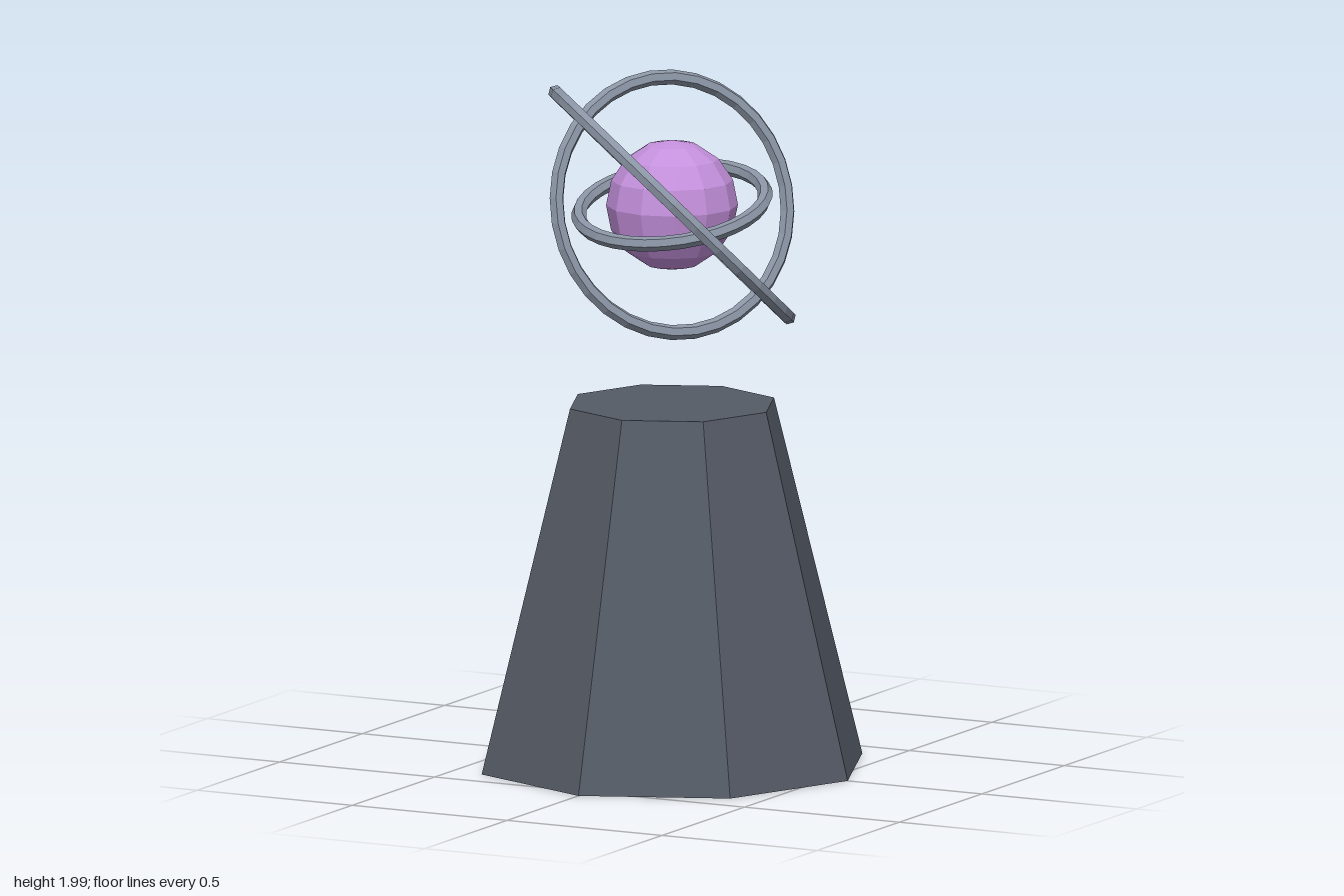
import * as THREE from 'three';

const flat = (color) => new THREE.MeshStandardMaterial({ color, flatShading: true });

export function createModel() {
  const model = new THREE.Group();
  const add = (name, geometry, material, y) => {
    const mesh = new THREE.Mesh(geometry, material);
    mesh.name = name;
    mesh.position.y = y;
    model.add(mesh);
    return mesh;
  };

  // Tapered octagonal pedestal
  const height = 1.045;
  add('pedestal', new THREE.CylinderGeometry(0.304, 0.567, height, 8), flat(0x555b66), height / 2);

  // Floating faceted orb
  const centerY = 1.62;
  add('orb', new THREE.SphereGeometry(0.188, 12, 8), flat(0xc490dc), centerY);

  // Three tilted rings around the orb: radius and axis direction
  const ringMaterial = flat(0x8a94a4);
  const tilt = Math.PI / 12;
  const rings = [
    ['innerRing', 0.268, [0, Math.cos(tilt), Math.sin(tilt)]],
    ['middleRing', 0.366, [0.79, 0.25, 0.556]],
    ['outerRing', 0.461, [0.55, 0.707, -0.445]],
  ];
  const forward = new THREE.Vector3(0, 0, 1);
  for (const [name, radius, axis] of rings) {
    const ring = add(name, new THREE.TorusGeometry(radius, 0.0215, 6, 32), ringMaterial, centerY);
    ring.quaternion.setFromUnitVectors(forward, new THREE.Vector3(...axis).normalize());
  }
  return model;
}
